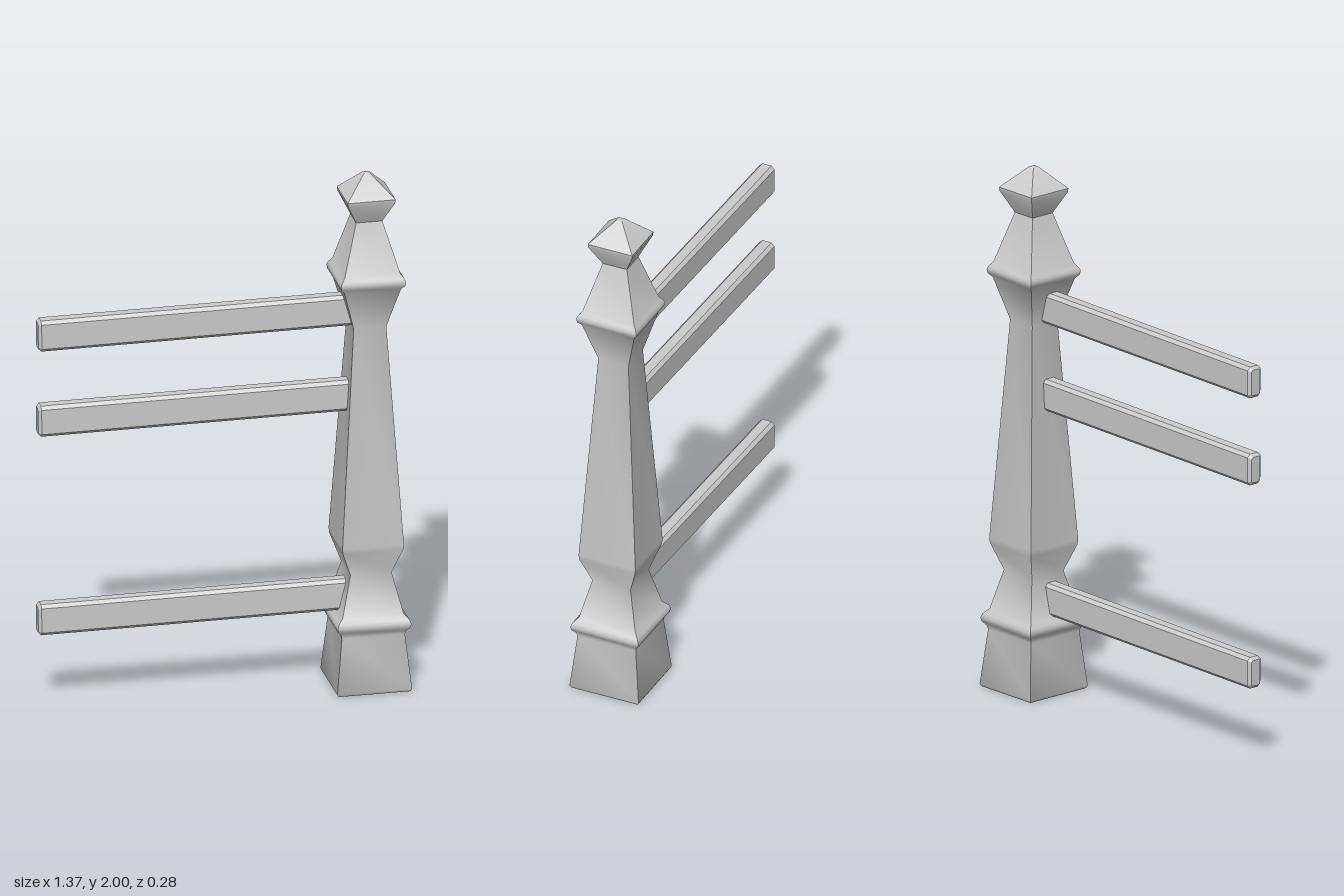
import * as THREE from 'three';
import { toCreasedNormals } from 'three/addons/utils/BufferGeometryUtils.js';

const material = new THREE.MeshStandardMaterial({ color: 0xcccccc });

// Square turned post: [half width, height] pairs swept round four sides
function makePost() {
  const profile = [
    [0, 0], [0.134, 0], [0.14, 0.01], [0.118, 0.22],
    [0.122, 0.235], [0.135, 0.25], [0.138, 0.265], [0.132, 0.28], [0.114, 0.3],
    [0.077, 0.45], [0.113, 0.55], [0.115, 0.57],
    [0.061, 1.41], [0.106, 1.57],
    [0.119, 1.585], [0.122, 1.6], [0.117, 1.612], [0.104, 1.63],
    [0.049, 1.82], [0.088, 1.9], [0.09, 1.915], [0.012, 1.996], [0, 2],
  ].map(([half, y]) => new THREE.Vector2(half * Math.SQRT2, y));
  const geometry = new THREE.LatheGeometry(profile, 4, Math.PI / 4);
  const post = new THREE.Mesh(toCreasedNormals(geometry, 0.7), material);
  post.name = 'post';
  post.position.x = 0.544;
  return post;
}

// Bar along x with chamfered edges and ends
function makeRailGeometry(length, height, depth, chamfer) {
  const w = depth / 2 - chamfer, h = height / 2 - chamfer, c = 0.006;
  const outline = new THREE.Shape([
    [w, -h + c], [w, h - c], [w - c, h], [-w + c, h],
    [-w, h - c], [-w, -h + c], [-w + c, -h], [w - c, -h],
  ].map(([x, y]) => new THREE.Vector2(x, y)));
  const geometry = new THREE.ExtrudeGeometry(outline, {
    depth: length - 2 * chamfer, bevelSize: chamfer, bevelThickness: chamfer, bevelSegments: 1,
  });
  geometry.center();
  geometry.rotateY(Math.PI / 2);
  return toCreasedNormals(geometry, 0.3);
}

export function createModel() {
  const model = new THREE.Group();
  model.name = 'fencePost';
  model.add(makePost());

  // Three slightly skewed rails let into the side of the post
  const railGeometry = makeRailGeometry(1.2, 0.12, 0.062, 0.011);
  const heights = { lowerRail: 0.356, middleRail: 1.135, upperRail: 1.469 };
  for (const [name, y] of Object.entries(heights)) {
    const rail = new THREE.Mesh(railGeometry, material);
    rail.name = name;
    rail.position.set(-0.088, y, 0.003);
    rail.rotation.set(0, -0.016, 0.009);
    model.add(rail);
  }
  return model;
}
